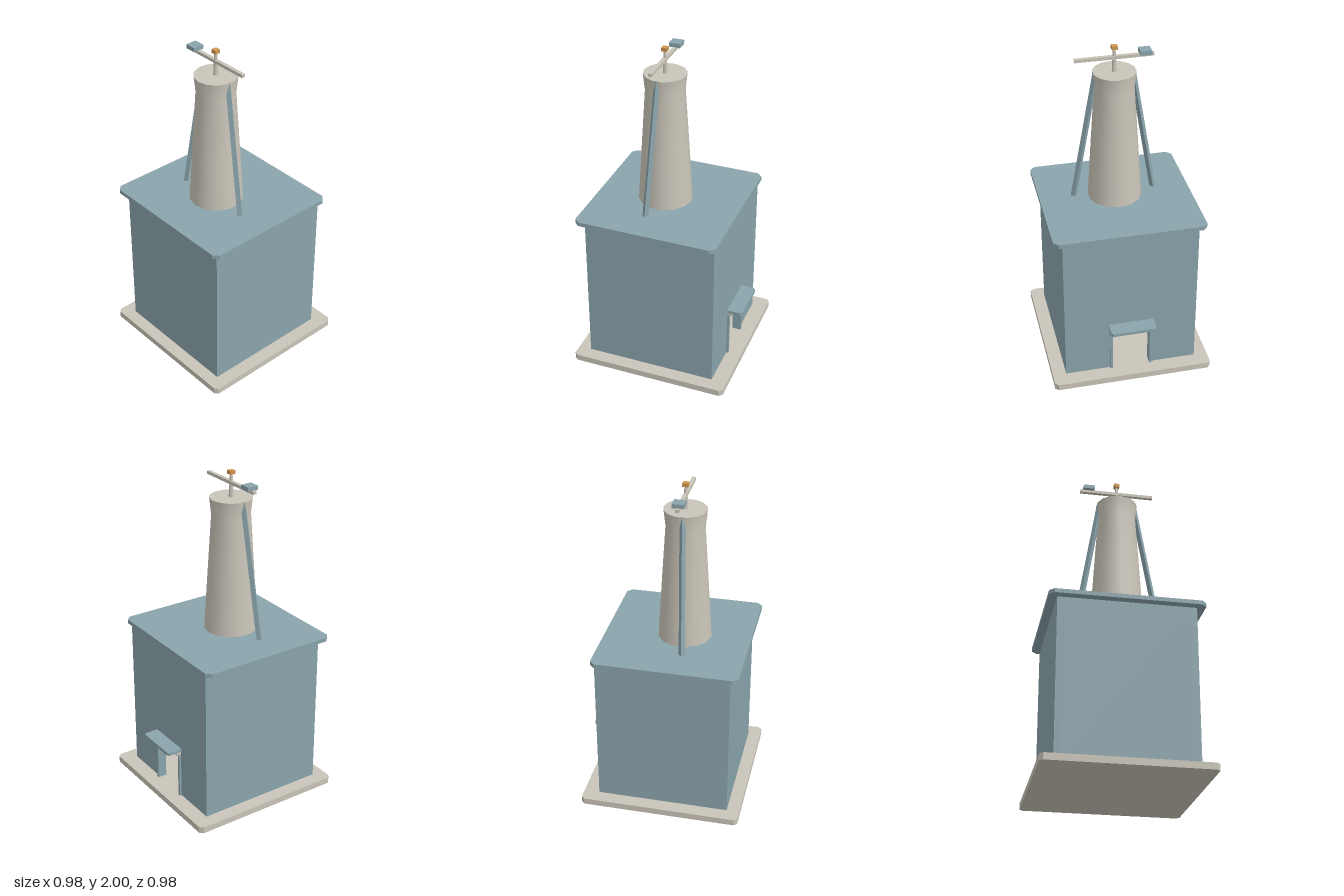
import * as THREE from 'three';

const blue = new THREE.MeshStandardMaterial({ color: 0x8aa4ac });
blue.name = 'slateBlue';
const stone = new THREE.MeshStandardMaterial({ color: 0xcac5b9 });
stone.name = 'paleStone';
const brass = new THREE.MeshStandardMaterial({ color: 0xcf9850 });
brass.name = 'brass';

// Box given by its minimum and maximum corners
function box(name, mat, [x0, y0, z0], [x1, y1, z1]) {
  const mesh = new THREE.Mesh(new THREE.BoxGeometry(x1 - x0, y1 - y0, z1 - z0), mat);
  mesh.position.set((x0 + x1) / 2, (y0 + y1) / 2, (z0 + z1) / 2);
  mesh.name = name;
  return mesh;
}

// Flat slab with cut corners; cutL and cutR are the cuts on the -x and +x sides
function slab(name, mat, x0, x1, halfZ, y0, y1, cutL, cutR) {
  const shape = new THREE.Shape([
    [x0 + cutL, -halfZ], [x1 - cutR, -halfZ], [x1, -halfZ + cutR], [x1, halfZ - cutR],
    [x1 - cutR, halfZ], [x0 + cutL, halfZ], [x0, halfZ - cutL], [x0, -halfZ + cutL],
  ].map(([x, y]) => new THREE.Vector2(x, y)));
  const geo = new THREE.ExtrudeGeometry(shape, { depth: y1 - y0, bevelEnabled: false });
  geo.rotateX(-Math.PI / 2);
  const mesh = new THREE.Mesh(geo, mat);
  mesh.position.y = y0;
  mesh.name = name;
  return mesh;
}

export function createModel() {
  const model = new THREE.Group();
  model.name = 'towerHouse';
  const cx = -0.06; // tower axis

  model.add(slab('base', stone, -0.49, 0.49, 0.49, 0, 0.04, 0.02, 0.02));

  // Hollow house with an open doorway in the +x wall
  const house = new THREE.Group();
  house.name = 'house';
  const L = -0.412, R = 0.395, Z = 0.407, T = 0.04, Y0 = 0.04, Y1 = 0.995;
  house.add(
    box('frontWall', blue, [L, Y0, Z - T], [R, Y1, Z]),
    box('backWall', blue, [L, Y0, -Z], [R, Y1, -Z + T]),
    box('rightWall', blue, [L, Y0, -Z + T], [L + T, Y1, Z - T]),
  );
  const dz = 0.117, dy = 0.334, W = Z - T;
  const wall = new THREE.Shape([
    [-W, Y0], [-dz, Y0], [-dz, dy], [dz, dy], [dz, Y0], [W, Y0], [W, Y1], [-W, Y1],
  ].map(([x, y]) => new THREE.Vector2(x, y)));
  const wallGeo = new THREE.ExtrudeGeometry(wall, { depth: T, bevelEnabled: false });
  wallGeo.rotateY(Math.PI / 2);
  const doorWall = new THREE.Mesh(wallGeo, blue);
  doorWall.position.x = R - T;
  doorWall.name = 'doorWall';
  house.add(doorWall);
  model.add(house);

  model.add(slab('roof', blue, -0.462, 0.411, 0.457, 0.995, 1.02, 0.03, 0.03));

  // Door frame and canopy
  const porch = new THREE.Group();
  porch.name = 'porch';
  for (const s of [-1, 1]) {
    const a = s * 0.116, b = s * 0.132;
    porch.add(box('doorPost', blue, [0.352, Y0, Math.min(a, b)], [0.408, dy, Math.max(a, b)]));
  }
  porch.add(box('lintel', stone, [0.38, dy, -0.132], [0.425, 0.357, 0.132]));
  porch.add(slab('canopy', blue, 0.385, 0.49, 0.139, 0.356, 0.376, 0, 0.012));
  model.add(porch);

  // Fourteen-sided tapering tower with a flared rim
  const profile = [[0.163, 1.01], [0.139, 1.4], [0.117, 1.74], [0.128, 1.842]]
    .map(([r, y]) => new THREE.Vector2(r, y));
  const tower = new THREE.Mesh(new THREE.LatheGeometry(profile, 14), stone);
  tower.rotation.y = Math.PI / 2;
  tower.position.x = cx;
  tower.name = 'tower';
  const lid = new THREE.Mesh(new THREE.CircleGeometry(0.128, 14), stone);
  lid.rotation.x = -Math.PI / 2;
  lid.position.set(cx, 1.842, 0);
  lid.name = 'towerTop';
  model.add(tower, lid);

  // Leaning square braces, turned edge outward
  for (const s of [-1, 1]) {
    const from = new THREE.Vector3(-0.093, 1.01, s * 0.247);
    const to = new THREE.Vector3(-0.066, 1.84, s * 0.107);
    const dir = to.clone().sub(from);
    const geo = new THREE.BoxGeometry(0.026, dir.length(), 0.026);
    geo.rotateY(Math.PI / 4);
    const brace = new THREE.Mesh(geo, blue);
    brace.quaternion.setFromUnitVectors(new THREE.Vector3(0, 1, 0), dir.normalize());
    brace.position.copy(from).add(to).multiplyScalar(0.5);
    brace.name = 'brace';
    model.add(brace);
  }

  // Mast, crossbeam with counterweight, and finial
  const mast = new THREE.Mesh(new THREE.CylinderGeometry(0.008, 0.015, 0.14, 8), stone);
  mast.position.set(cx, 1.91, 0);
  mast.name = 'mast';
  model.add(
    mast,
    box('beam', stone, [cx - 0.011, 1.918, -0.231], [cx + 0.011, 1.937, 0.23]),
    box('counterweight', blue, [cx - 0.034, 1.935, -0.213], [cx + 0.034, 1.96, -0.145]),
    box('finial', brass, [cx - 0.017, 1.978, -0.017], [cx + 0.017, 2.0, 0.017]),
  );
  return model;
}
